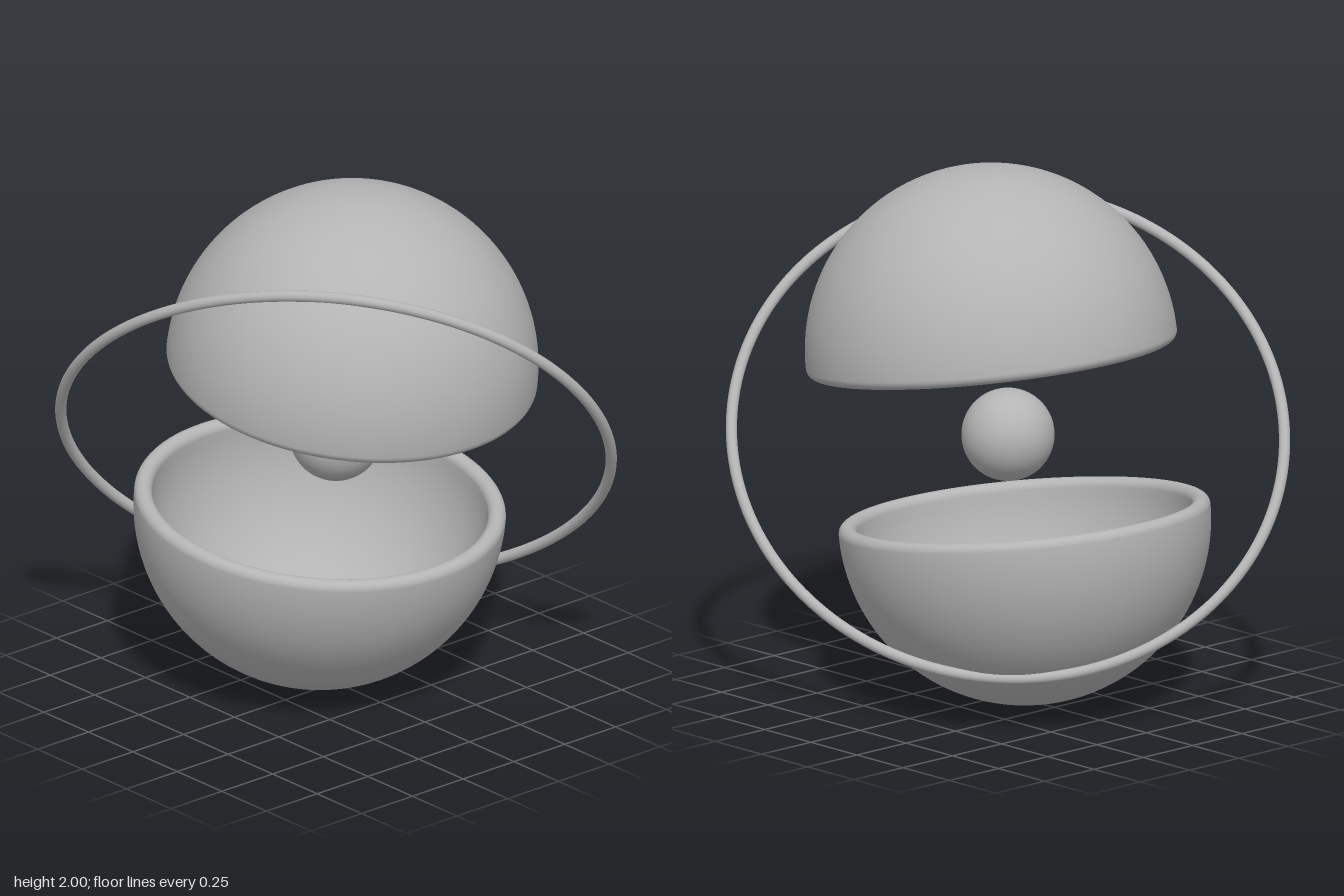
import * as THREE from 'three';

const grey = new THREE.MeshStandardMaterial({ color: 0xb4b4b4 });
grey.name = 'plain grey';

// Hollow half sphere, open upwards, with a rounded rim
function shellGeometry(outer, thickness) {
  const lip = thickness / 2, inner = outer - thickness, steps = 32;
  const points = [];
  for (let i = 0; i <= steps; i++) {
    const a = (i / steps) * Math.PI / 2;
    points.push(new THREE.Vector2(outer * Math.sin(a), -outer * Math.cos(a)));
  }
  for (let i = 1; i < 12; i++) {
    const a = (i / 12) * Math.PI;
    points.push(new THREE.Vector2(outer - lip + lip * Math.cos(a), lip * Math.sin(a)));
  }
  for (let i = steps; i >= 0; i--) {
    const a = (i / steps) * Math.PI / 2;
    points.push(new THREE.Vector2(inner * Math.sin(a), -inner * Math.cos(a)));
  }
  return new THREE.LatheGeometry(points, 96);
}

// Slightly oval tilted hoop, from its two half axes
function ringGeometry(longAxis, shortAxis, tube) {
  const points = [];
  for (let i = 0; i < 64; i++) {
    const a = (i / 64) * Math.PI * 2;
    points.push(new THREE.Vector3()
      .addScaledVector(longAxis, Math.cos(a))
      .addScaledVector(shortAxis, Math.sin(a)));
  }
  const curve = new THREE.CatmullRomCurve3(points, true);
  return new THREE.TubeGeometry(curve, 192, tube, 16, true);
}

export function createModel() {
  const model = new THREE.Group();
  const add = (name, geometry, x, y, tilt = 0) => {
    const mesh = new THREE.Mesh(geometry, grey);
    mesh.name = name;
    mesh.position.set(x, y, 0);
    mesh.rotation.z = THREE.MathUtils.degToRad(tilt);
    model.add(mesh);
  };

  // Two open halves leaning apart
  const shell = shellGeometry(0.691, 0.067);
  add('lowerShell', shell, -0.09, 0.693, -7);
  add('upperShell', shell, 0.09, 1.309, 180 - 9);

  // Core ball and the hoop around everything
  add('core', new THREE.SphereGeometry(0.173, 48, 32), 0, 1);
  const longAxis = new THREE.Vector3(0.903, 0.346, -0.403);
  const shortAxis = new THREE.Vector3(0, 0.707, 0.64);
  add('orbitRing', ringGeometry(longAxis, shortAxis, 0.021), 0, 1);

  return model;
}
